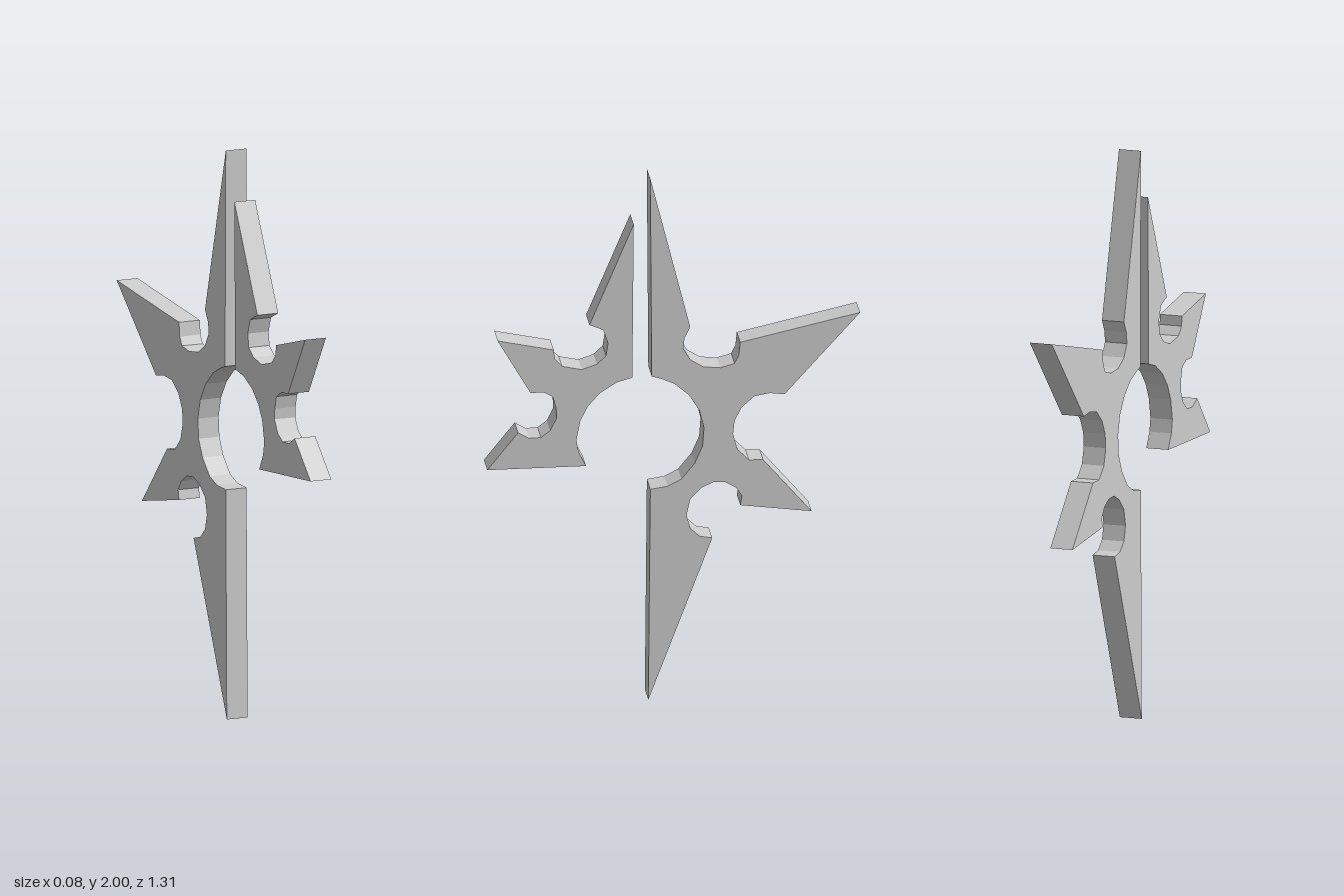
import * as THREE from 'three';

const THICKNESS = 0.084;

// Outlines are [across, up]; across runs toward the back (-z).
// Larger half: four blades joined by scooped notches.
const mainHalf = {
  topBlade: [[-0.085, 2]],
  topNotch: [[0.055, 1.42], [0.035, 1.38], [0.03, 1.34], [0.055, 1.295], [0.1, 1.265],
    [0.16, 1.257], [0.21, 1.27], [0.225, 1.3], [0.23, 1.35]],
  upperBlade: [[0.65, 1.436]],
  backNotch: [[0.385, 1.14], [0.335, 1.148], [0.28, 1.14], [0.235, 1.1], [0.21, 1.05],
    [0.205, 1], [0.22, 0.94], [0.26, 0.897], [0.31, 0.894]],
  lowerBlade: [[0.48, 0.685]],
  lowerNotch: [[0.23, 0.725], [0.236, 0.76], [0.215, 0.794], [0.178, 0.817], [0.135, 0.82],
    [0.093, 0.8], [0.055, 0.76], [0.042, 0.7], [0.055, 0.648], [0.087, 0.616], [0.132, 0.606]],
  bottomBlade: [[-0.092, 0]],
  centreHole: [[-0.085, 0.807], [-0.024, 0.815], [0.024, 0.839], [0.071, 0.897], [0.098, 0.96],
    [0.103, 1.03], [0.087, 1.098], [0.05, 1.16], [0, 1.206], [-0.045, 1.228], [-0.08, 1.24]],
};

// Smaller half: three blades around the front of the centre hole.
const frontHalf = {
  topBlade: [[-0.143, 1.828]],
  upperNotch: [[-0.298, 1.452], [-0.25, 1.43], [-0.233, 1.378], [-0.24, 1.33], [-0.272, 1.3],
    [-0.325, 1.283], [-0.394, 1.3], [-0.42, 1.33], [-0.423, 1.365]],
  middleBlade: [[-0.62, 1.413]],
  lowerNotch: [[-0.505, 1.206], [-0.458, 1.204], [-0.426, 1.185], [-0.415, 1.14], [-0.413, 1.103],
    [-0.436, 1.056], [-0.468, 1.032], [-0.51, 1.032], [-0.548, 1.056]],
  lowerBlade: [[-0.656, 0.92]],
  centreHole: [[-0.31, 0.912], [-0.336, 0.966], [-0.344, 1.013], [-0.33, 1.087], [-0.304, 1.14],
    [-0.262, 1.188], [-0.204, 1.225], [-0.148, 1.24]],
};

// Join the outline sections and extrude them into a flat plate across x.
function plate(name, sections, material) {
  const points = Object.values(sections).flat().map(([s, y]) => new THREE.Vector2(s, y));
  const geometry = new THREE.ExtrudeGeometry(new THREE.Shape(points), {
    depth: THICKNESS, bevelEnabled: false,
  });
  geometry.translate(0, 0, -THICKNESS / 2).rotateY(Math.PI / 2);
  const mesh = new THREE.Mesh(geometry, material);
  mesh.name = name;
  return mesh;
}

export function createModel() {
  const material = new THREE.MeshStandardMaterial({ color: 0xcccccc, flatShading: true });
  const group = new THREE.Group();
  group.name = 'splitThrowingStar';
  group.add(plate('mainHalf', mainHalf, material), plate('frontHalf', frontHalf, material));
  return group;
}
